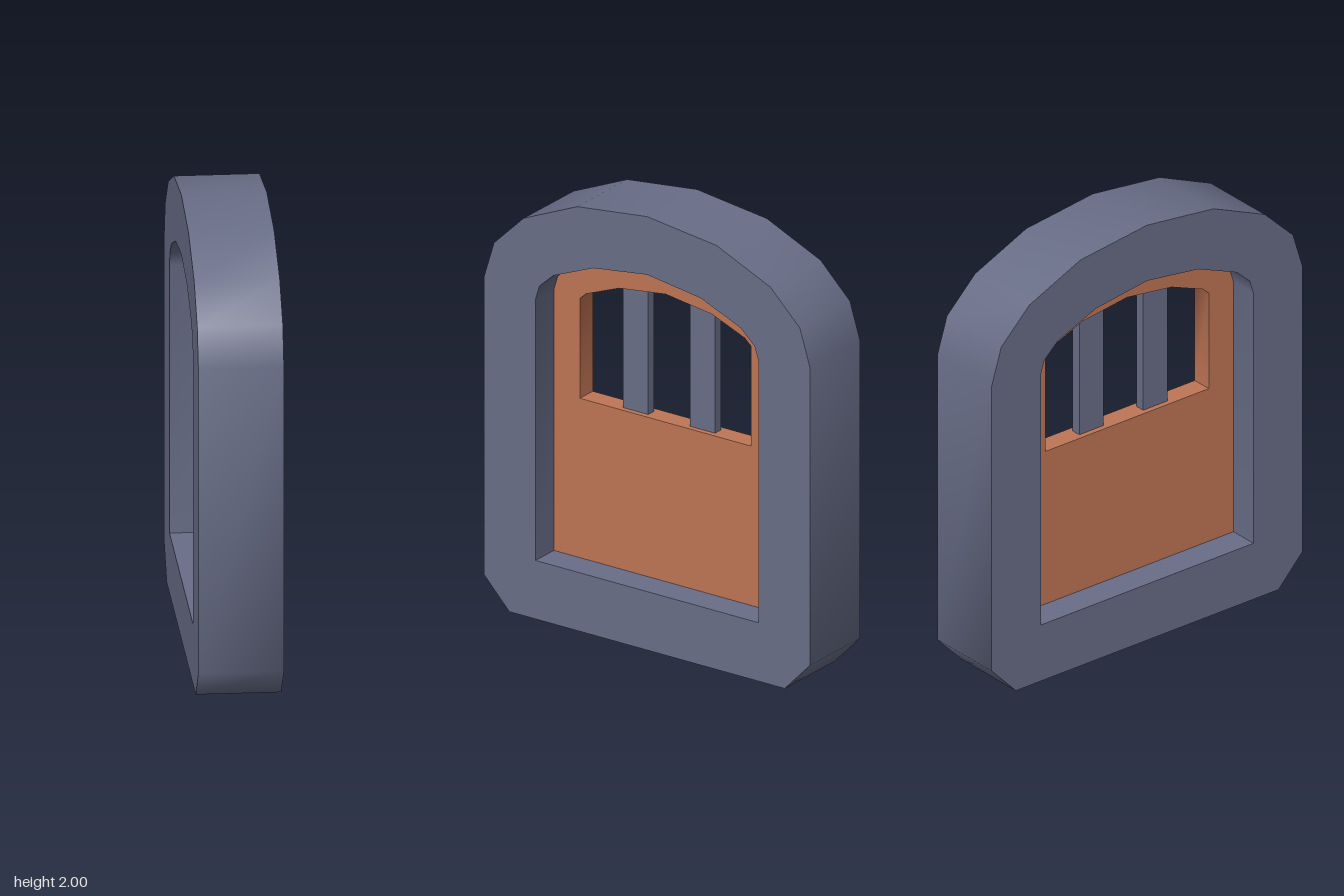
import * as THREE from 'three';
import { toCreasedNormals } from 'three/addons/utils/BufferGeometryUtils.js';

// Mirrors half a profile (bottom to top, last point on the centre line)
function mirrored(half) {
  const other = half.filter(([x]) => x > 0).reverse().map(([x, y]) => [-x, y]);
  return [...half, ...other].map(([x, y]) => new THREE.Vector2(x, y));
}

// Slab with a hole, with its thickness along x and centred on x = 0
function slab(outline, hole, thickness) {
  const shape = new THREE.Shape(mirrored(outline));
  shape.holes.push(new THREE.Path(mirrored(hole)));
  const geometry = new THREE.ExtrudeGeometry(shape, { depth: thickness, bevelEnabled: false });
  geometry.translate(0, 0, -thickness / 2);
  geometry.rotateY(Math.PI / 2);
  return toCreasedNormals(geometry, 0.9);
}

export function createModel() {
  const stone = new THREE.MeshStandardMaterial({ color: 0x686d87 });
  stone.name = 'slate stone';
  const wood = new THREE.MeshStandardMaterial({ color: 0xbf7555 });
  wood.name = 'orange wood';

  const outer = [[0.72, 0], [0.853, 0.14], [0.853, 1.51], [0.8, 1.682], [0.646, 1.833], [0.365, 1.956], [0, 2]];
  const opening = [[0.583, 0.27], [0.583, 1.475], [0.563, 1.54], [0.49, 1.607], [0.28, 1.693], [0, 1.732]];
  const pane = [[0.448, 1.005], [0.448, 1.465], [0.415, 1.495], [0.244, 1.563], [0, 1.596]];

  const group = new THREE.Group();
  group.name = 'archedWindow';
  const add = (name, geometry, material) => {
    const mesh = new THREE.Mesh(geometry, material);
    mesh.name = name;
    group.add(mesh);
    return mesh;
  };

  // Heavy arched surround and the recessed panel inside it
  add('frame', slab(outer, opening, 0.365), stone);
  add('panel', slab(opening, pane, 0.095), wood);

  // Two upright bars, let into the panel above and below
  for (const side of [-1, 1]) {
    const bar = add(side > 0 ? 'frontBar' : 'backBar', new THREE.BoxGeometry(0.045, 0.64, 0.132), stone);
    bar.position.set(0, 1.29, side * 0.175);
  }

  // The whole piece stands very slightly turned
  group.rotation.y = 0.015;
  return group;
}
